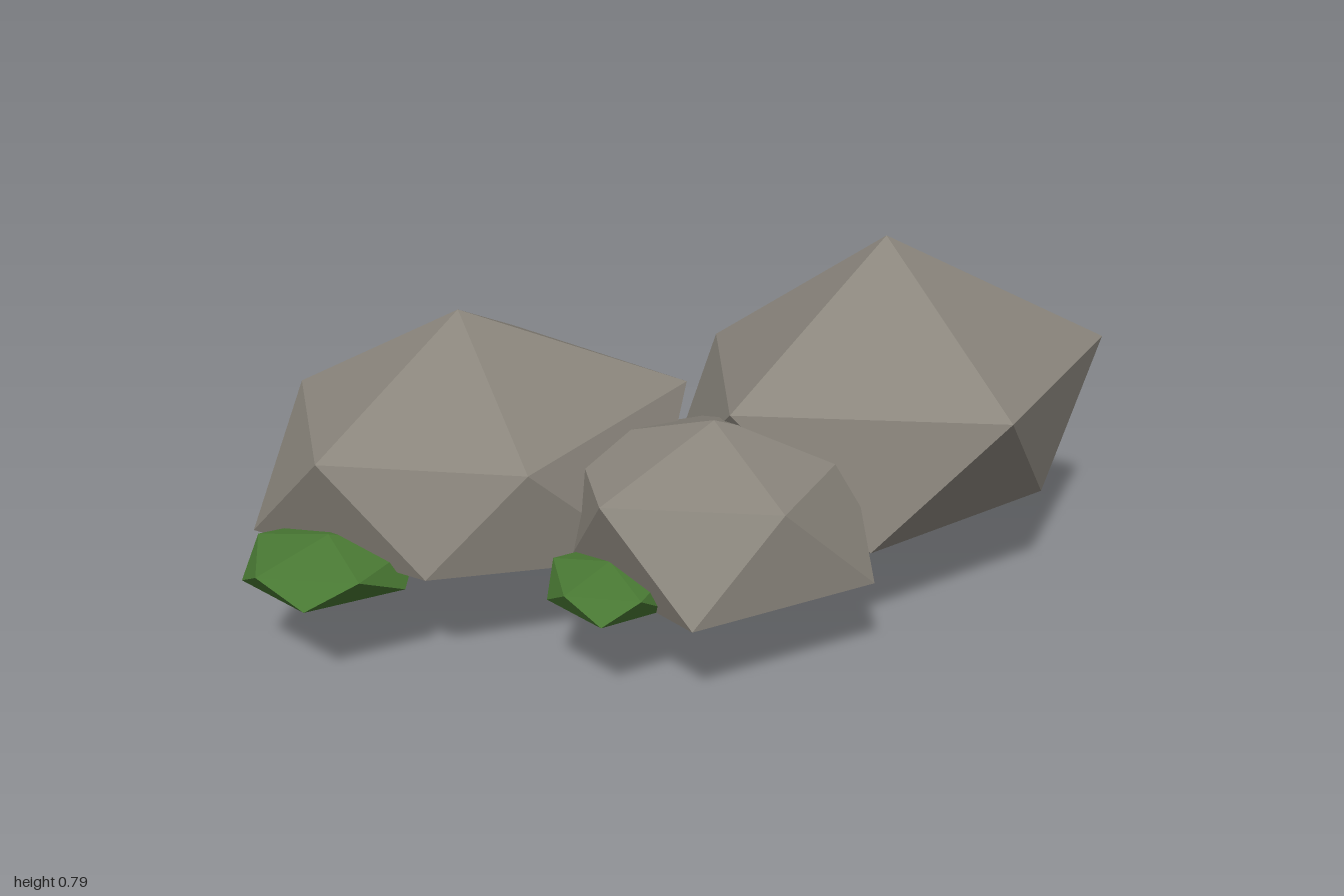
import * as THREE from 'three';

const STEP = (Math.PI * 2) / 5;

// Twenty-sided stone: two poles and two staggered five-point rings.
// Each ring entry is [radius, height]; the lower ring is turned by half a step.
function facetedBlob(name, material, [x, z], top, bottom, upper, lower, zScale = 1) {
  const ring = (points, turn) => points.map(([r, y], i) => {
    const a = (i + turn) * STEP;
    return [x + r * Math.cos(a), y, z + r * Math.sin(a) * zScale];
  });
  const u = ring(upper, 0);
  const l = ring(lower, 0.5);
  const t = [x, top, z];
  const b = [x, bottom, z];
  const corners = [];
  for (let i = 0; i < 5; i++) {
    const j = (i + 1) % 5;
    corners.push(t, u[j], u[i]);
    corners.push(u[j], l[i], u[i]);
    corners.push(l[i], u[j], l[j]);
    corners.push(b, l[i], l[j]);
  }
  const geometry = new THREE.BufferGeometry();
  geometry.setAttribute('position', new THREE.Float32BufferAttribute(corners.flat(), 3));
  geometry.computeVertexNormals();
  const mesh = new THREE.Mesh(geometry, material);
  mesh.name = name;
  return mesh;
}

// Low squashed moss clump with a flat underside
function mossClump(name, material, centre, radius, top, shoulder, base, zScale) {
  const even = (y) => Array.from({ length: 5 }, () => [radius, y]);
  return facetedBlob(name, material, centre, top, base, even(shoulder), even(base), zScale);
}

export function createModel() {
  const group = new THREE.Group();
  group.name = 'mossyRocks';

  const stone = new THREE.MeshStandardMaterial({ color: 0x8a857c, flatShading: true });
  stone.name = 'grey stone';
  const moss = new THREE.MeshStandardMaterial({ color: 0x4a7a34, flatShading: true });
  moss.name = 'green moss';

  // Rocks
  group.add(
    facetedBlob('largeRock', stone, [0.46, -0.11], 0.795, 0.005,
      [[0.54, 0.52], [0.485, 0.505], [0.525, 0.51], [0.42, 0.5], [0.465, 0.5]],
      [[0.395, 0.24], [0.455, 0.22], [0.51, 0.24], [0.484, 0.215], [0.395, 0.24]]),
    facetedBlob('mediumRock', stone, [-0.51, -0.05], 0.7, 0.105,
      [[0.5, 0.5], [0.345, 0.44], [0.395, 0.46], [0.43, 0.47], [0.52, 0.49]],
      [[0.45, 0.2], [0.37, 0.235], [0.47, 0.22], [0.44, 0.23], [0.48, 0.2]]),
    facetedBlob('smallRock', stone, [0, 0.205], 0.505, 0.135,
      [[0.3, 0.415], [0.29, 0.4], [0.34, 0.415], [0.34, 0.41], [0.295, 0.41]],
      [[0.37, 0.2], [0.375, 0.2], [0.32, 0.2], [0.34, 0.2], [0.37, 0.2]]),
  );

  // Moss at the foot of the rocks
  group.add(
    mossClump('largeMoss', moss, [-0.815, 0.155], 0.185, 0.29, 0.255, 0.2, 0.99),
    mossClump('smallMoss', moss, [-0.25, 0.365], 0.132, 0.275, 0.25, 0.2, 1.15),
  );
  return group;
}
